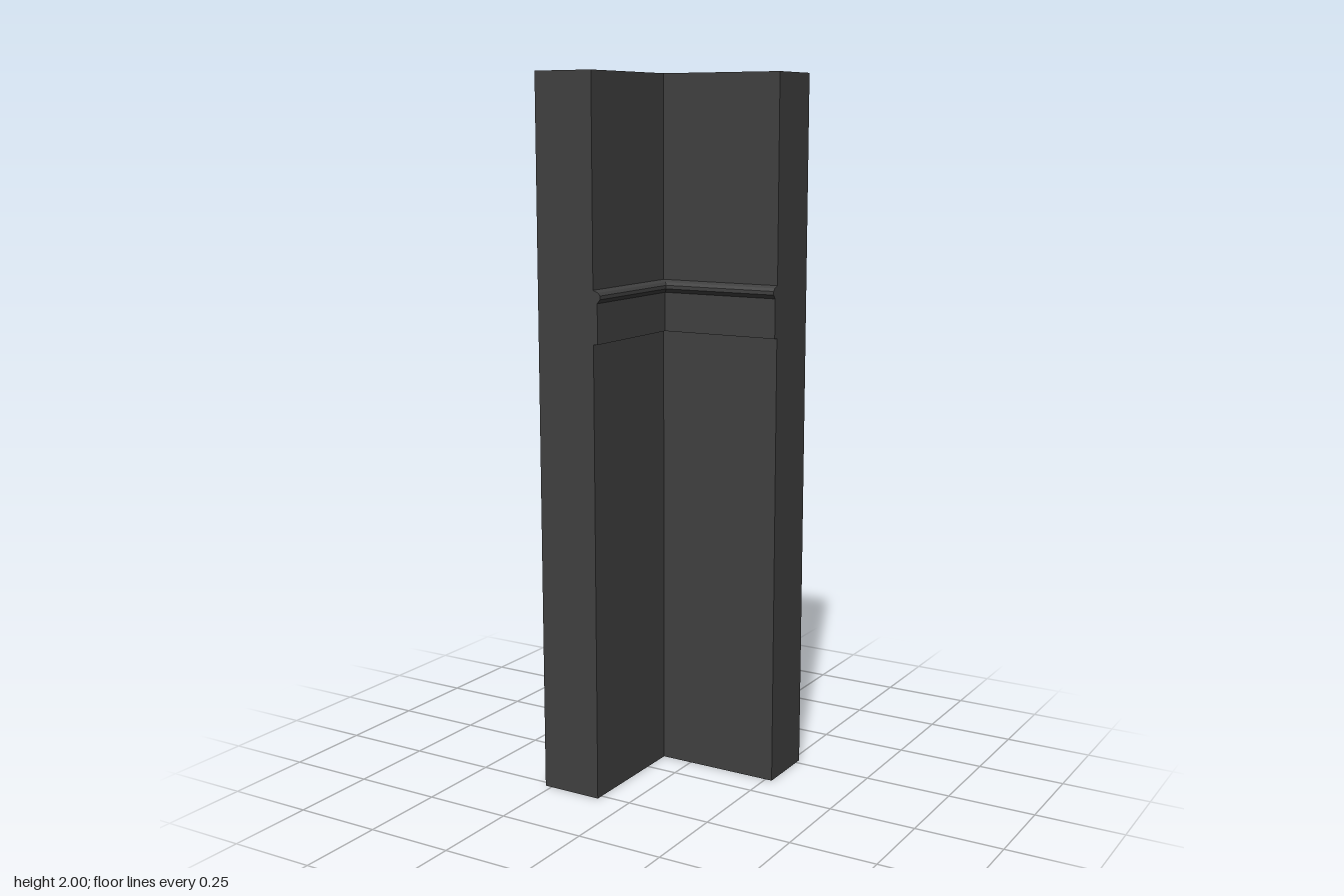
import * as THREE from 'three';

const HALF = 0.27;   // half the outer width
const FACE = -0.092; // inner wall face, on both x and z
const C = 0.005;     // tiny chamfer on the outer corner

export function createModel() {
  const group = new THREE.Group();
  group.name = 'cornerWall';
  const material = new THREE.MeshStandardMaterial({ color: 0x404040 });

  const add = (geometry, name) => {
    const mesh = new THREE.Mesh(geometry, material);
    mesh.name = name;
    group.add(mesh);
  };

  // L-shaped wall, drawn in plan as (x, -z) and raised upright
  const plan = [
    [-HALF, -HALF], [FACE, -HALF], [FACE, -FACE], [HALF, -FACE],
    [HALF, HALF], [-HALF + C, HALF], [-HALF, HALF - C],
  ].map(([x, y]) => new THREE.Vector2(x, y));
  const wall = new THREE.ExtrudeGeometry(new THREE.Shape(plan), { depth: 2, bevelEnabled: false });
  wall.rotateX(-Math.PI / 2);
  add(wall, 'wall');

  // Rail cross-section: distance out from the wall, height
  const profile = [
    [-0.01, 1.285], [0.013, 1.285], [0.013, 1.395], [0.022, 1.406],
    [0.022, 1.416], [0.016, 1.424], [0, 1.43], [-0.01, 1.43],
  ];

  // One leg of the rail, mitred at the inner corner; side is 1 or -1
  const railLeg = (side) => {
    const shape = new THREE.Shape(
      profile.map(([out, y]) => new THREE.Vector2(side * (FACE + out), y)));
    const geometry = new THREE.ExtrudeGeometry(shape, { depth: 1, bevelEnabled: false });
    const p = geometry.attributes.position;
    for (let i = 0; i < p.count; i++) {
      p.setZ(i, THREE.MathUtils.lerp(side * p.getX(i), HALF, p.getZ(i)));
    }
    if (side < 0) geometry.rotateY(Math.PI / 2);
    geometry.computeVertexNormals();
    return geometry;
  };
  add(railLeg(1), 'rightRail');
  add(railLeg(-1), 'backRail');

  return group;
}
